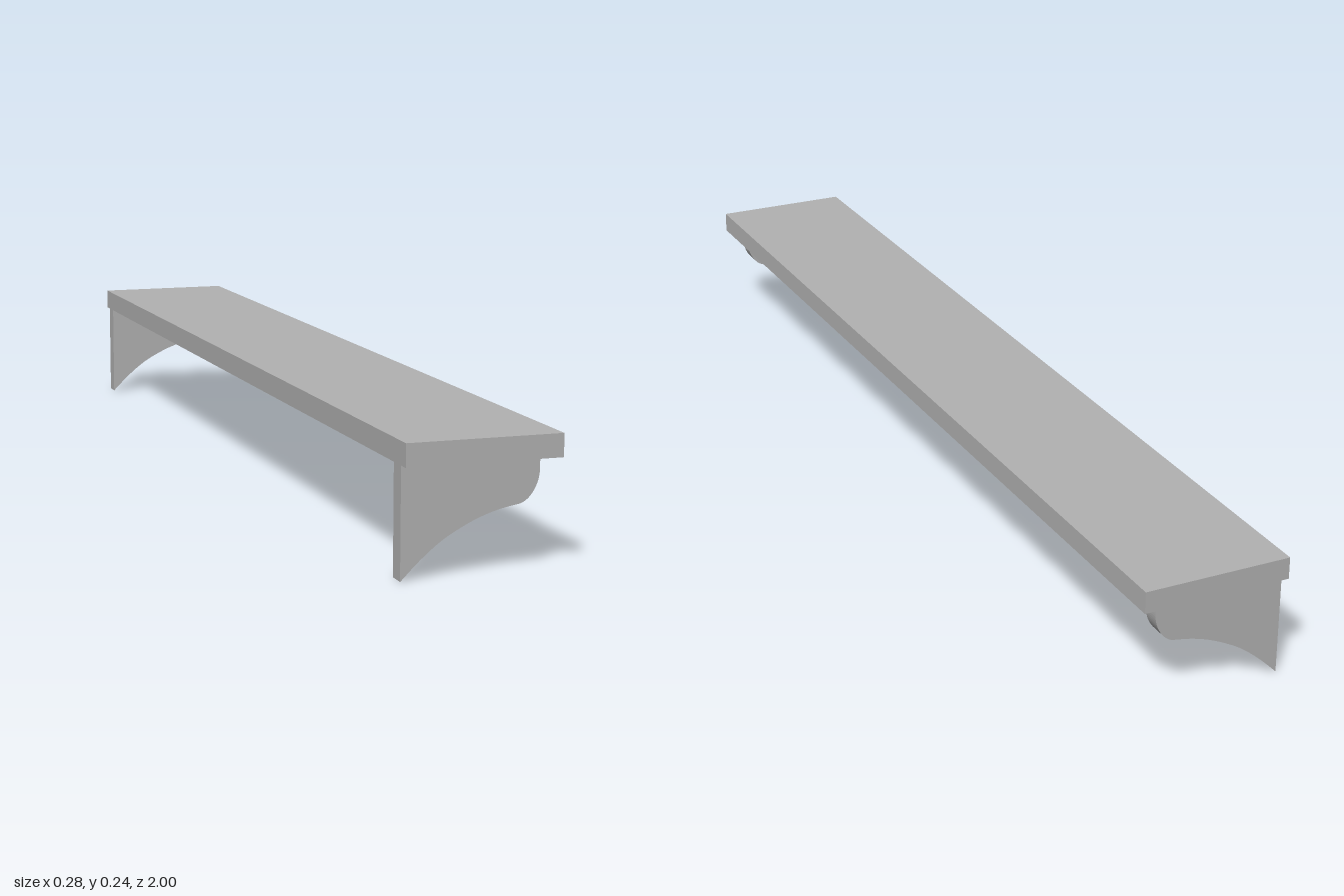
import * as THREE from 'three';

export function createModel() {
  const group = new THREE.Group();
  const grey = new THREE.MeshStandardMaterial({ color: 0xb2b2b2 });
  grey.name = 'grey';

  // Shelf board
  const board = new THREE.Mesh(new THREE.BoxGeometry(0.28, 0.041, 2), grey);
  board.name = 'shelfBoard';
  board.position.y = 0.2155;
  group.add(board);

  // Bracket profile: straight wall edge, rounded nose, hollow underside
  const p = (x, y) => new THREE.Vector2(x, y);
  const profile = new THREE.Shape();
  profile.moveTo(-0.14, 0.195);
  profile.lineTo(-0.14, 0);
  profile.splineThru([p(-0.105, 0.034), p(-0.069, 0.063), p(-0.035, 0.083), p(0, 0.099), p(0.035, 0.11), p(0.072, 0.117)]);
  profile.bezierCurveTo(0.09, 0.122, 0.107, 0.147, 0.107, 0.175);
  profile.lineTo(0.107, 0.195);
  profile.closePath();

  // One bracket near each end
  const depth = 0.033;
  const bracketGeometry = new THREE.ExtrudeGeometry(profile, { depth, bevelEnabled: false, curveSegments: 16 });
  bracketGeometry.translate(0, 0, -depth / 2);
  for (const [name, z] of [['frontBracket', 0.962], ['backBracket', -0.962]]) {
    const bracket = new THREE.Mesh(bracketGeometry, grey);
    bracket.name = name;
    bracket.position.z = z;
    group.add(bracket);
  }
  return group;
}
